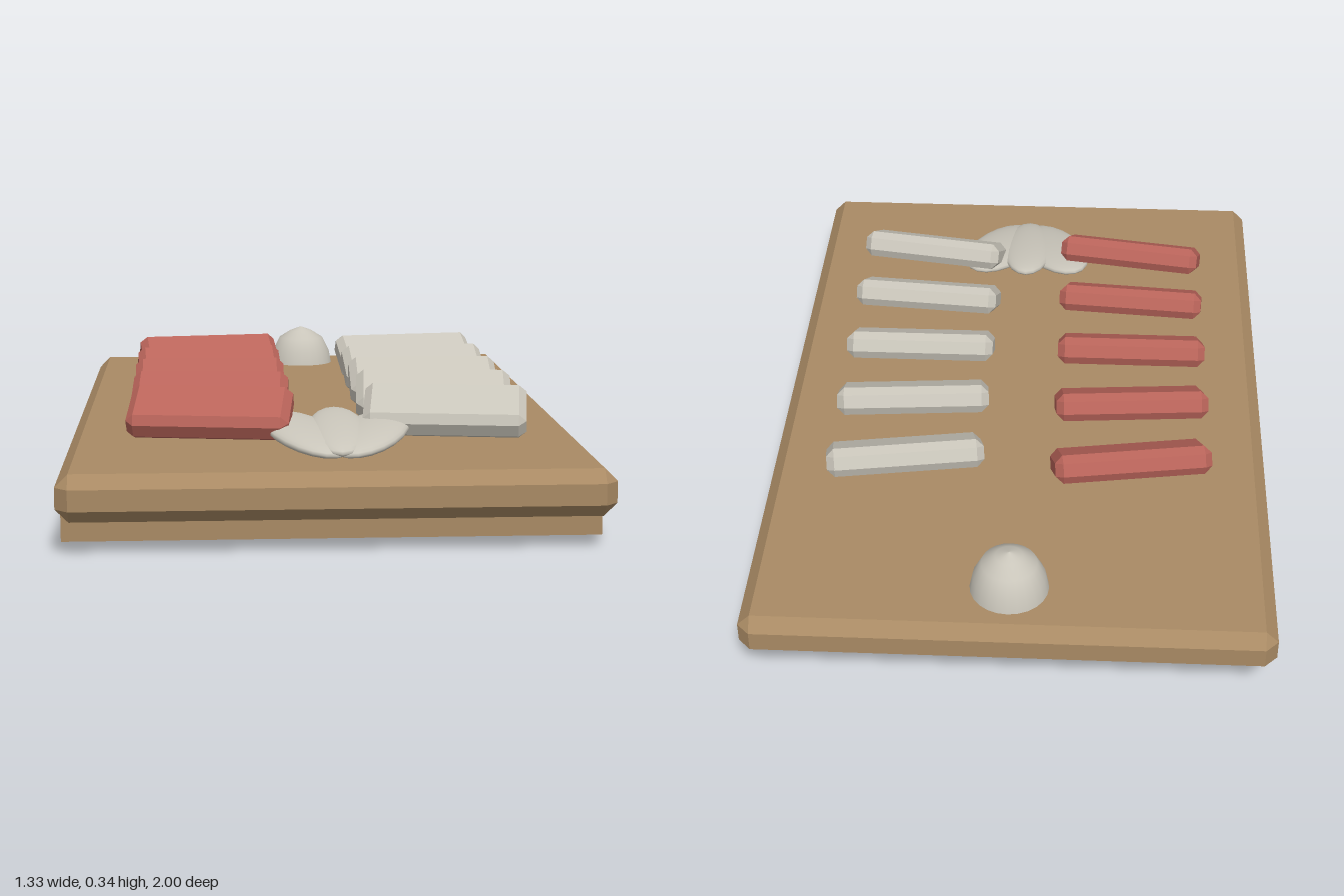
import * as THREE from 'three';
import { ConvexGeometry } from 'three/addons/geometries/ConvexGeometry.js';

// Box with every edge cut flat and a small triangle at each corner
function chamferBox(w, h, d, c) {
  const points = [];
  for (const sx of [-1, 1]) for (const sy of [-1, 1]) for (const sz of [-1, 1]) {
    for (let axis = 0; axis < 3; axis++) {
      const inset = [c, c, c];
      inset[axis] = 0;
      points.push(new THREE.Vector3(
        sx * (w / 2 - inset[0]), sy * (h / 2 - inset[1]), sz * (d / 2 - inset[2])));
    }
  }
  return new ConvexGeometry(points);
}

export function createModel() {
  const model = new THREE.Group();
  model.name = 'sashimiBoard';

  const material = (name, color) => {
    const m = new THREE.MeshStandardMaterial({ color });
    m.name = name;
    return m;
  };
  const wood = material('wood', 0xa98a64);
  const red = material('redFish', 0xb9645a);
  const pale = material('paleFish', 0xc9c5ba);

  const add = (name, geometry, mat, x, y, z) => {
    const mesh = new THREE.Mesh(geometry, mat);
    mesh.name = name;
    mesh.position.set(x, y, z);
    model.add(mesh);
    return mesh;
  };

  // Serving board on two cross feet
  add('board', chamferBox(1.333, 0.116, 2, 0.032), wood, 0, 0.143, 0);
  const foot = new THREE.BoxGeometry(1.333, 0.086, 0.115);
  add('frontFoot', foot, wood, 0, 0.043, 0.75);
  add('backFoot', foot, wood, 0, 0.043, -0.75);

  // Two fanned rows of leaning slices
  const slice = chamferBox(0.415, 0.075, 0.16, 0.02);
  for (let i = 0; i < 5; i++) {
    for (const side of [-1, 1]) {
      const mesh = add(side < 0 ? 'redSlice' : 'paleSlice', slice,
        side < 0 ? red : pale, side * 0.3, 0.2775, -0.42 + i * 0.25);
      mesh.rotation.set(0.52, (2 - i) * 0.078, 0, 'YXZ');
    }
  }

  // Garnish of three overlapping petals, raised towards the back
  for (const s of [-1, 0, 1]) {
    const petal = add('garnishPetal', new THREE.SphereGeometry(1, 20, 14), pale,
      0.02 + s * 0.08, s ? 0.234 : 0.24, s ? 0.662 : 0.655);
    petal.scale.set(s ? 0.09 : 0.075, 0.026, 0.183);
    petal.rotation.set(0.14, -s * 0.4, 0, 'YXZ');
  }

  // Mound of paste at the back
  const profile = [[0.1, 0], [0.092, 0.04], [0.07, 0.083], [0.035, 0.105], [0, 0.118]]
    .map(([r, y]) => new THREE.Vector2(r, y));
  add('pasteMound', new THREE.LatheGeometry(profile, 24), pale, 0, 0.2, -0.835);

  return model;
}
